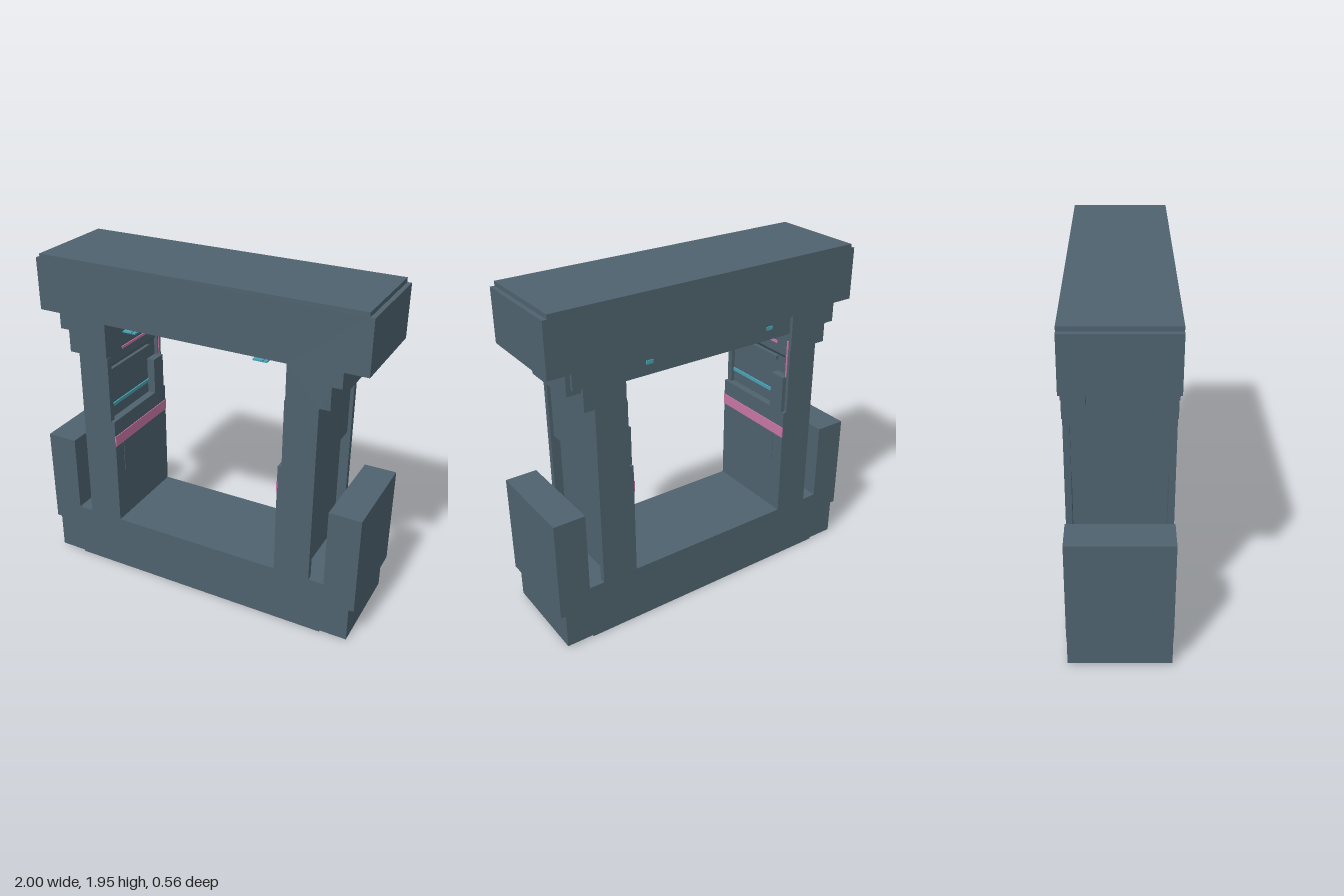
import * as THREE from 'three';

const slate = new THREE.MeshStandardMaterial({ name: 'slate', color: 0x4f626e });
const teal = new THREE.MeshStandardMaterial({ name: 'teal', color: 0x48a3b5 });
const pink = new THREE.MeshStandardMaterial({ name: 'pink', color: 0xc877a4 });

// Closed symmetric loop from the points of its +x half, listed bottom to top
function mirrored(half) {
  const left = half.map(([x, y]) => [-x, y]).reverse();
  return [...half, ...left].map(([x, y]) => new THREE.Vector2(x, y));
}

// Full frame section; side and inner wall points vary between rims and core
function frameSlab(name, outerWall, innerWall, z0, z1) {
  const shape = new THREE.Shape(mirrored([
    [0.81, 0], [0.81, 0.01], [0.97, 0.01], [0.97, 0.22], [1, 0.22], [1, 0.81],
    [0.815, 0.81], [0.815, 0.34], ...outerWall,
    [0.785, 1.4], [0.785, 1.53], [0.84, 1.53], [0.84, 1.62], [0.97, 1.62],
    [0.97, 1.92], [0.945, 1.92], [0.945, 1.945],
  ]));
  shape.holes.push(new THREE.Path(mirrored(innerWall)));
  const geometry = new THREE.ExtrudeGeometry(shape, { depth: z1 - z0, bevelEnabled: false });
  geometry.translate(0, 0, z0);
  const mesh = new THREE.Mesh(geometry, slate);
  mesh.name = name;
  return mesh;
}

export function createModel() {
  const model = new THREE.Group();

  // Box given by its limits on each axis
  function box(name, material, [x0, x1], [y0, y1], [z0, z1]) {
    const mesh = new THREE.Mesh(new THREE.BoxGeometry(x1 - x0, y1 - y0, z1 - z0), material);
    mesh.position.set((x0 + x1) / 2, (y0 + y1) / 2, (z0 + z1) / 2);
    mesh.name = name;
    model.add(mesh);
  }
  function pair(name, material, [x0, x1], y, z) {
    box(name + 'Left', material, [x0, x1], y, z);
    box(name + 'Right', material, [-x1, -x0], y, z);
  }

  // Front and back rims around a core with recessed side panels
  const rimOuter = [[0.725, 0.34], [0.725, 1.4]];
  const rimInner = [[0.515, 0.34], [0.515, 1.01], [0.537, 1.01], [0.537, 1.4], [0.542, 1.4], [0.542, 1.605]];
  const coreOuter = [[0.67, 0.34], [0.67, 1.01], [0.705, 1.01], [0.705, 1.4]];
  const coreInner = [[0.515, 0.34], [0.515, 1.01], [0.56, 1.01], [0.56, 1.33], [0.546, 1.35], [0.546, 1.605]];
  model.add(frameSlab('frontRim', rimOuter, rimInner, 0.245, 0.28));
  model.add(frameSlab('frameCore', coreOuter, coreInner, -0.245, 0.245));
  model.add(frameSlab('backRim', rimOuter, rimInner, -0.28, -0.245));

  // Inner rib near the back: ceiling beam, wall posts and outer brackets
  const rib = [-0.26, -0.16];
  box('ceilingBeam', slate, [-0.55, 0.55], [1.495, 1.61], rib);
  pair('beamFoot', slate, [0.18, 0.26], [1.487, 1.495], [-0.24, -0.18]);
  pair('wallPost', slate, [0.512, 0.57], [1.0, 1.23], rib);
  pair('outerBracket', slate, [0.78, 0.865], [1.5, 1.625], rib);

  // Wall trim
  pair('wallBand', pink, [0.51, 0.518], [0.85, 0.915], [-0.28, 0.28]);
  pair('lowerPanel', slate, [0.512, 0.518], [0.65, 0.85], [-0.2, 0.2]);
  pair('wallLight', teal, [0.552, 0.561], [1.08, 1.1], [-0.16, 0.245]);
  pair('wallRail', slate, [0.54, 0.565], [1.3, 1.325], [-0.16, 0.245]);
  pair('wallDash', pink, [0.54, 0.547], [1.405, 1.42], [-0.16, 0.12]);
  pair('postStripe', pink, [0.533, 0.541], [1.23, 1.45], [-0.262, -0.253]);

  // Ceiling trim
  box('ceilingPanel', slate, [-0.45, 0.45], [1.594, 1.606], [-0.16, 0.2]);
  pair('ceilingLight', teal, [0.37, 0.41], [1.585, 1.594], [-0.14, 0.28]);
  pair('ceilingLightEnd', teal, [0.35, 0.43], [1.58, 1.588], [0.17, 0.27]);
  box('centreLight', teal, [-0.06, 0.06], [1.585, 1.594], [-0.08, -0.03]);
  pair('beamLamp', teal, [0.37, 0.41], [1.555, 1.575], [-0.266, -0.259]);
  return model;
}
